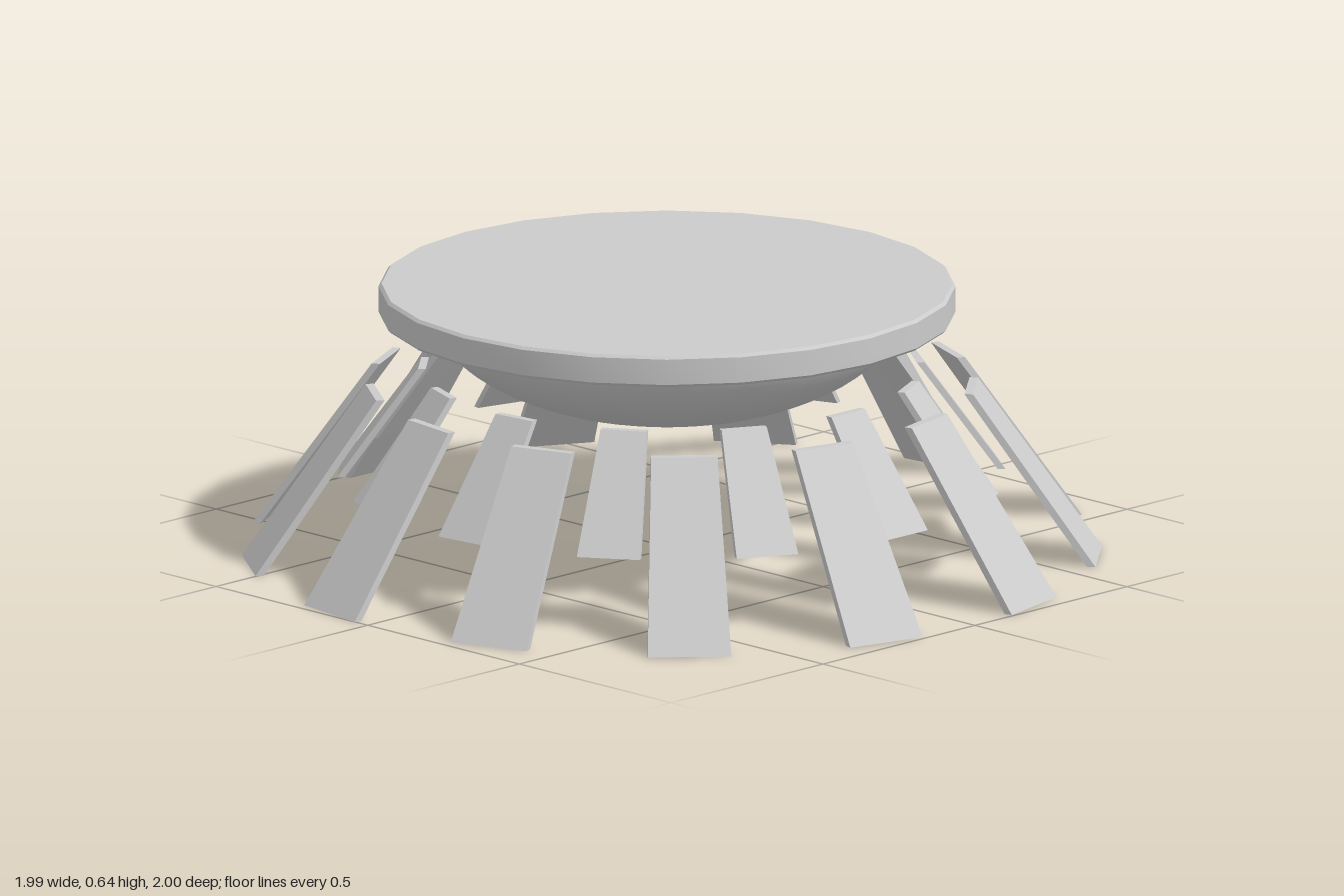
import * as THREE from 'three';
import { toCreasedNormals } from 'three/addons/utils/BufferGeometryUtils.js';

const material = new THREE.MeshStandardMaterial({ color: 0xcccccc });
const COUNT = 13;

// Tapered slat leaning inward: bottom and top given as [radius, y, width]
function slatGeometry([r0, y0, w0], [r1, y1, w1], thickness) {
  const geo = new THREE.BoxGeometry(1, 1, 1);
  const p = geo.attributes.position;
  const lerp = THREE.MathUtils.lerp;
  for (let i = 0; i < p.count; i++) {
    const t = p.getY(i) + 0.5;
    p.setXYZ(i,
      lerp(r0, r1, t) + (p.getX(i) - 0.5) * thickness,
      lerp(y0, y1, t),
      p.getZ(i) * lerp(w0, w1, t));
  }
  geo.computeVertexNormals();
  return geo;
}

// Evenly spaced ring of slats, starting at a given angle in degrees
function slatRing(name, geo, startDegrees) {
  const ring = new THREE.Group();
  ring.name = name + 'Ring';
  for (let i = 0; i < COUNT; i++) {
    const slat = new THREE.Mesh(geo, material);
    slat.name = name;
    slat.rotation.y = -THREE.MathUtils.degToRad(startDegrees + (i * 360) / COUNT);
    ring.add(slat);
  }
  return ring;
}

function lathe(name, profile, segments) {
  const points = profile.map(([r, y]) => new THREE.Vector2(r, y));
  const geo = toCreasedNormals(new THREE.LatheGeometry(points, segments), 0.5);
  const mesh = new THREE.Mesh(geo, material);
  mesh.name = name;
  mesh.position.z = 0.015;
  return mesh;
}

export function createModel() {
  const model = new THREE.Group();
  model.name = 'slattedDish';

  // Flat disc lid with a thin rim that hangs down around a shallow recess
  model.add(lathe('lid', [
    [0, 0.61], [0.65, 0.61], [0.65, 0.565], [0.665, 0.565],
    [0.672, 0.572], [0.672, 0.633], [0.665, 0.64], [0, 0.64],
  ], 24));

  // Shallow rounded bowl under the lid
  const bowl = [];
  for (let i = 0; i <= 14; i++) {
    const a = (i / 14) * Math.PI / 2;
    bowl.push([0.565 * Math.sin(a), 0.61 - 0.28 * Math.cos(a)]);
  }
  model.add(lathe('bowl', bowl, 48));

  // Two staggered rings of leaning slats
  model.add(slatRing('outerSlat',
    slatGeometry([0.998, 0, 0.195], [0.71, 0.405, 0.155], 0.02), 181));
  model.add(slatRing('innerSlat',
    slatGeometry([0.776, 0.175, 0.15], [0.588, 0.435, 0.11], 0.018), 0.5));

  return model;
}
